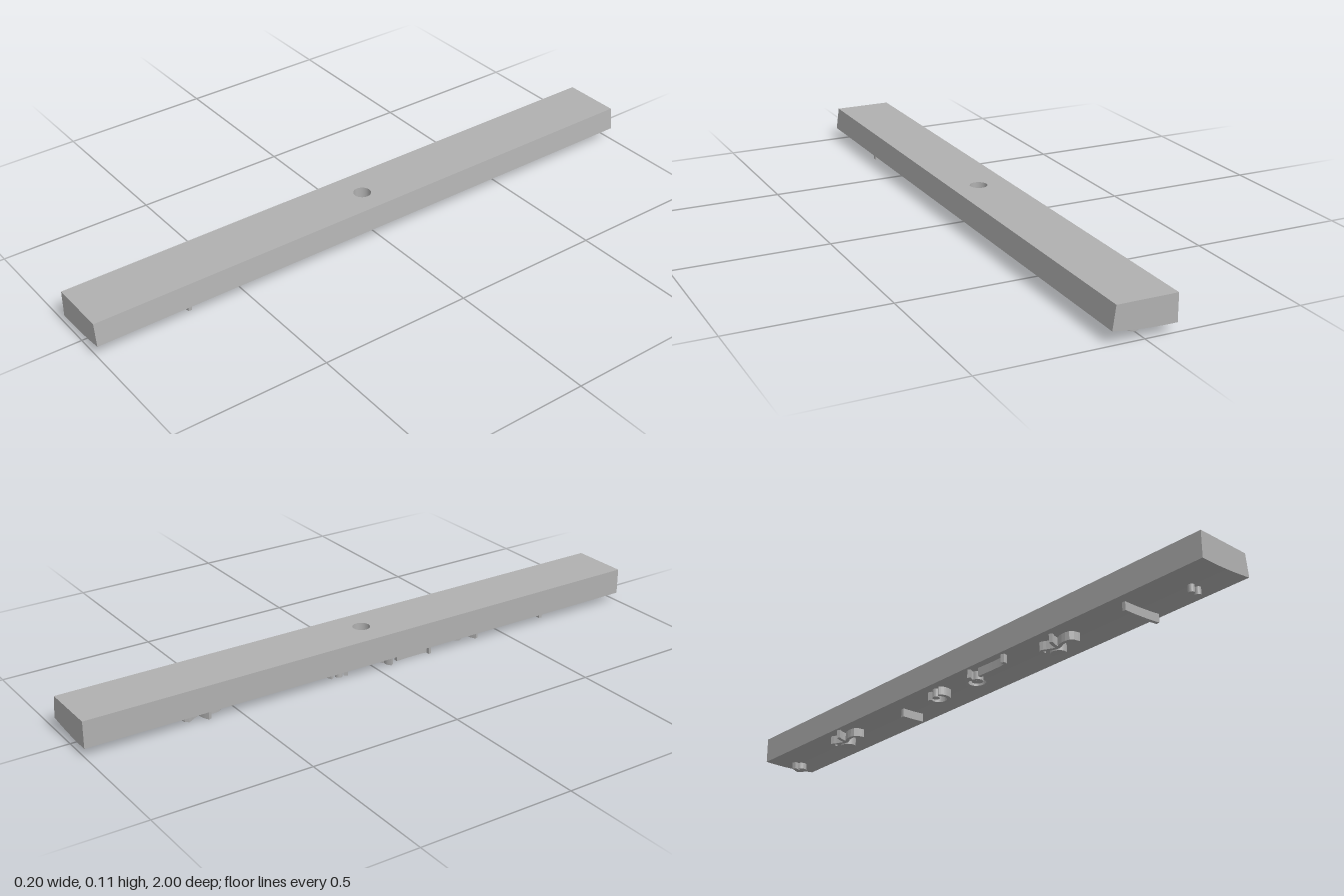
import * as THREE from 'three';

const HALF = 0.1, TOP = 0.115, HOLE = 0.028, MID = 0.04, RELIEF = 0.028;

// gently bowed underside of the bar
const under = (x) => 0.029 + 0.4 * (x + 0.08) ** 2;

// extrude a plan outline (shape y = -z) and fit its bottom and top to height rules
function planSolid(shape, low, high, fit) {
  const g = new THREE.ExtrudeGeometry(shape, { depth: 1, bevelEnabled: false, curveSegments: 28 });
  g.rotateX(-Math.PI / 2);
  const p = g.attributes.position;
  for (let i = 0; i < p.count; i++) {
    const x = p.getX(i), top = p.getY(i) > 0.5;
    p.setY(i, top ? high(x) : low(x));
    if (fit && top) p.setX(i, fit(x));
  }
  g.computeVertexNormals();
  return g;
}

// outline of a thin wall following [x, z] points
function wallShape(pts, width, n = 16) {
  const curve = new THREE.SplineCurve(pts.map(([x, z]) => new THREE.Vector2(x, -z)));
  const a = [], b = [];
  for (let i = 0; i <= n; i++) {
    const c = curve.getPoint(i / n), t = curve.getTangent(i / n);
    const off = new THREE.Vector2(-t.y, t.x).multiplyScalar(width / 2);
    a.push(c.clone().add(off));
    b.push(c.clone().sub(off));
  }
  return new THREE.Shape([...a, ...b.reverse()]);
}

function discShape(x, z, r) {
  const s = new THREE.Shape();
  s.absarc(x, -z, r, 0, Math.PI * 2, false);
  return s;
}

export function createModel() {
  const model = new THREE.Group();
  const grey = new THREE.MeshStandardMaterial({ color: 0xb0b0b0 });
  grey.name = 'plain grey';

  const add = (name, geometry, parent = model) => {
    const m = new THREE.Mesh(geometry, grey);
    m.name = name;
    parent.add(m);
    return m;
  };

  // long bar ends: cross-section extruded along z
  const section = new THREE.Shape();
  section.moveTo(-HALF, TOP);
  for (let i = 0; i <= 20; i++) {
    const x = -HALF + i * HALF / 10;
    section.lineTo(x, under(x));
  }
  section.lineTo(0.09, TOP);
  const endGeo = new THREE.ExtrudeGeometry(section, { depth: 1 - MID, bevelEnabled: false });
  add('frontBar', endGeo).position.z = MID;
  add('backBar', endGeo).position.z = -1;

  // middle of the bar with the round through hole
  const block = new THREE.Shape();
  for (let i = 0; i <= 20; i++) block.lineTo(-HALF + i * HALF / 10, -MID);
  for (let i = 20; i >= 0; i--) block.lineTo(-HALF + i * HALF / 10, MID);
  block.curves.shift();
  const hole = new THREE.Path();
  hole.absarc(0, 0, HOLE, 0, Math.PI * 2, true);
  block.holes.push(hole);
  add('piercedMiddle', planSolid(block, under, () => TOP, (x) => (x > 0.099 ? 0.09 : x)));

  // raised details on the underside
  const relief = new THREE.Group();
  relief.name = 'undersideRelief';
  model.add(relief);
  const raise = (name, shape, depth = RELIEF) =>
    add(name, planSolid(shape, (x) => under(x) - depth, (x) => under(x) + 0.004), relief);
  const wall = (name, pts, width = 0.012, depth) => raise(name, wallShape(pts, width), depth);
  const disc = (name, x, z, r, depth) => raise(name, discShape(x, z, r), depth);

  // two straight cross ribs
  wall('frontRib', [[-0.068, 0.685], [0.077, 0.685]]);
  wall('backRib', [[-0.044, -0.315], [0.04, -0.315]]);

  // matching stud and wavy wall clusters
  for (const [label, dx, dz] of [['front', 0, 0], ['back', -0.012, -1]]) {
    disc(label + 'Stud', -0.003 + dx, 0.362 + dz, 0.025);
    const at = (pts) => pts.map(([x, z]) => [x + dx, z + dz]);
    wall(label + 'WavyWall', at([[-0.015, 0.458], [-0.042, 0.452], [-0.046, 0.42],
      [-0.034, 0.39], [-0.046, 0.36], [-0.056, 0.34], [-0.035, 0.334]]));
    wall(label + 'ShortSpur', at([[-0.036, 0.39], [-0.06, 0.396], [-0.078, 0.404]]));
  }

  // side wall with a small stud
  wall('sideWall', [[-0.088, 0.207], [-0.07, 0.2], [-0.067, 0.15], [-0.069, 0.085]]);
  disc('sideStud', -0.05, 0.055, 0.018);
  wall('sideSpur', [[-0.055, 0.05], [-0.075, 0.05], [-0.088, 0.058]]);

  // open ring with a peg inside
  const ring = [];
  for (let i = 0; i <= 12; i++) {
    const a = -2.2 + i * 4.6 / 12;
    ring.push([-0.048 + 0.031 * Math.cos(a), -0.127 + 0.031 * Math.sin(a)]);
  }
  raise('openRing', wallShape(ring, 0.013, 36));
  disc('ringPeg', -0.062, -0.127, 0.012);

  // small pegs near both ends
  disc('frontPegLeft', 0.028, 0.875, 0.01, 0.024);
  disc('frontPegRight', 0.0, 0.875, 0.01, 0.024);
  disc('backPeg', 0.01, -0.945, 0.02, 0.022);
  wall('backPegTail', [[0.0, -0.945], [-0.024, -0.94]], 0.014, 0.024);

  return model;
}
